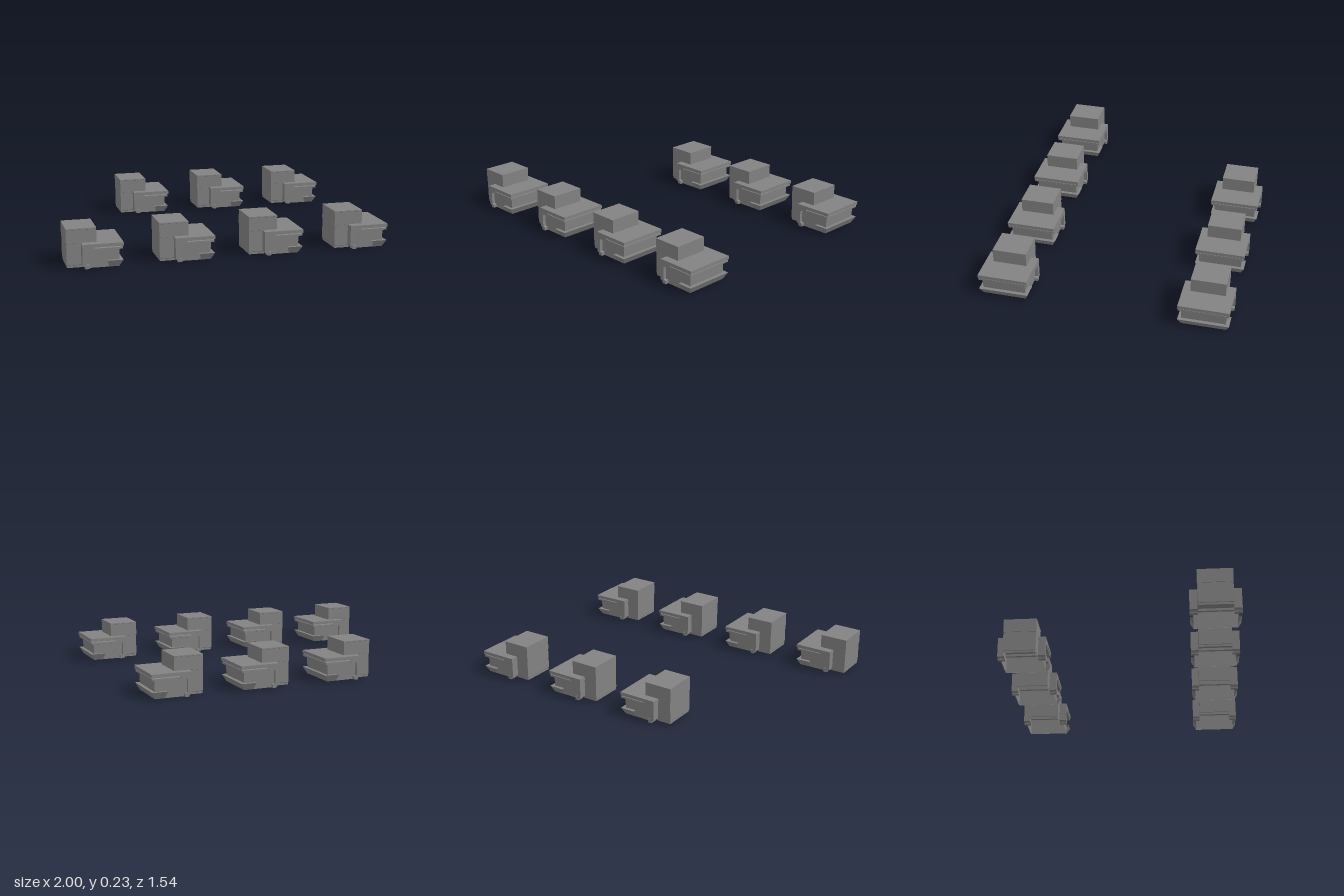
import * as THREE from 'three';

const material = new THREE.MeshStandardMaterial({ color: 0x828282, side: THREE.DoubleSide, flatShading: true });

// Rectangular rings [y, x0, x1, halfDepth] joined from top to bottom.
// open: 'none' joins all four sides, 'back' leaves out x0, 'front' leaves out x1.
function loft(name, rings, { open = 'none', cap = false } = {}) {
  const outline = ([y, x0, x1, h]) => {
    const p = [[x0, y, h], [x1, y, h], [x1, y, -h], [x0, y, -h]];
    if (open === 'none') p.push(p[0]);
    return open === 'front' ? [p[2], p[3], p[0], p[1]] : p;
  };
  const pos = [];
  const quad = (a, b, c, d) => pos.push(...a, ...b, ...c, ...a, ...c, ...d);
  for (let i = 0; i < rings.length - 1; i++) {
    const top = outline(rings[i]), low = outline(rings[i + 1]);
    for (let j = 0; j < top.length - 1; j++) quad(low[j], low[j + 1], top[j + 1], top[j]);
  }
  if (cap) {
    const t = outline(rings[0]);
    quad(t[0], t[1], t[2], t[3]);
  }
  const geo = new THREE.BufferGeometry();
  geo.setAttribute('position', new THREE.Float32BufferAttribute(pos, 3));
  geo.computeVertexNormals();
  const mesh = new THREE.Mesh(geo, material);
  mesh.name = name;
  return mesh;
}

// Upright side frame with a rounded upper corner and a small foot
function sideFrame(side) {
  const s = new THREE.Shape();
  s.moveTo(0.088, 0.018);
  s.lineTo(0.088, 0.13);
  s.quadraticCurveTo(0.088, 0.145, 0.103, 0.145);
  s.lineTo(0.16, 0.145);
  s.lineTo(0.16, 0.108);
  s.lineTo(0.122, 0.108);
  s.quadraticCurveTo(0.113, 0.108, 0.113, 0.1);
  s.lineTo(0.113, 0.025);
  s.lineTo(0.13, 0.02);
  s.lineTo(0.13, 0);
  s.lineTo(0.105, 0);
  s.quadraticCurveTo(0.105, 0.018, 0.088, 0.018);
  const geo = new THREE.ExtrudeGeometry(s, { depth: 0.048, bevelEnabled: false, curveSegments: 4 });
  const mesh = new THREE.Mesh(geo, material);
  mesh.position.z = side > 0 ? 0.107 : -0.155;
  mesh.name = side > 0 ? 'leftSideFrame' : 'rightSideFrame';
  return mesh;
}

function createUnit() {
  const unit = new THREE.Group();
  unit.add(
    // raised block with a fine lid line along its two long sides
    loft('upperBlock', [
      [0.235, 0, 0.18, 0.107], [0.228, 0, 0.18, 0.107],
      [0.227, 0, 0.18, 0.106], [0.146, 0, 0.18, 0.106],
    ], { cap: true }),
    // lower rear walls, set in slightly, with undercut base
    loft('rearWalls', [
      [0.146, 0, 0.1, 0.106], [0.145, 0.002, 0.1, 0.105], [0.016, 0.002, 0.1, 0.105],
      [0.013, 0.004, 0.1, 0.103], [0, 0.004, 0.1, 0.103],
    ], { open: 'front' }),
    // roof slab, groove and cornice
    loft('roofSlab', [
      [0.148, 0.088, 0.333, 0.155], [0.127, 0.088, 0.333, 0.155],
      [0.125, 0.092, 0.318, 0.143], [0.121, 0.092, 0.328, 0.153],
      [0.109, 0.092, 0.328, 0.153], [0.105, 0.092, 0.31, 0.135],
    ], { cap: true, open: 'back' }),
    loft('roofSlabRearEdge', [[0.148, 0.088, 0.09, 0.155], [0.127, 0.088, 0.09, 0.155]]),
    // main walls
    loft('bodyWalls', [[0.105, 0.1, 0.31, 0.135], [0, 0.1, 0.306, 0.133]], { open: 'back' }),
    // flared sill wrapping the front corners
    loft('sill', [
      [0.042, 0.235, 0.308, 0.134], [0.042, 0.235, 0.33, 0.155],
      [0, 0.248, 0.308, 0.134],
    ], { open: 'back' }),
  );
  for (const side of [1, -1]) unit.add(sideFrame(side));
  return unit;
}

export function createModel() {
  const model = new THREE.Group();
  model.name = 'unitRows';
  const unit = createUnit();
  // two rows, the rear one without its first unit
  for (const z of [0.617, -0.617]) {
    for (let i = z > 0 ? 0 : 1; i < 4; i++) {
      const copy = unit.clone();
      copy.name = `${z > 0 ? 'front' : 'rear'}RowUnit${i + 1}`;
      copy.position.set(-1 + i * 0.5557, 0, z);
      model.add(copy);
    }
  }
  return model;
}
